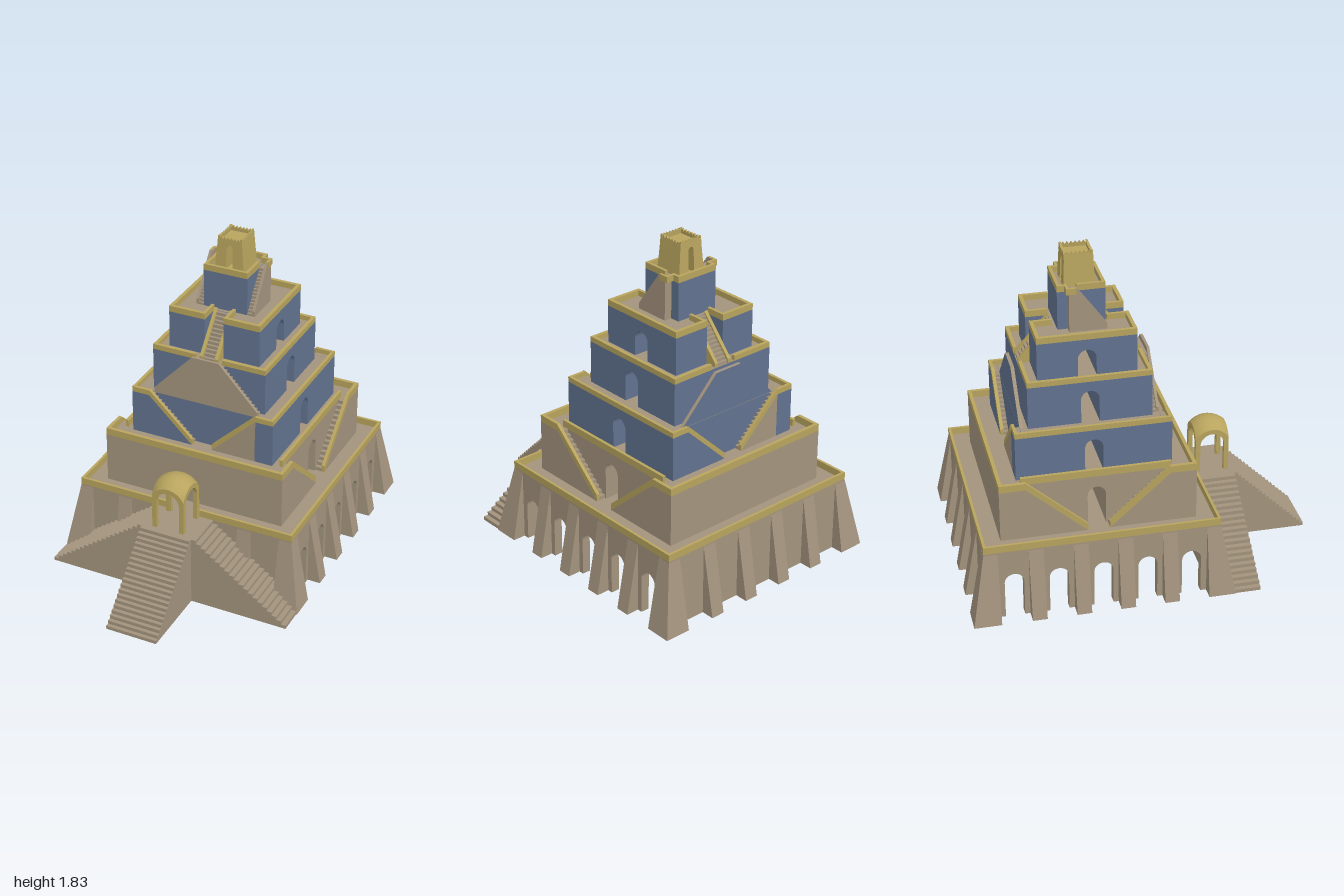
import * as THREE from 'three';

const material = (name, color) => {
  const m = new THREE.MeshStandardMaterial({ color });
  m.name = name;
  return m;
};

export function createModel() {
  const stone = material('sandstone', 0xa3937d);
  const gold = material('gold', 0xb8a45e);
  const blue = material('glazedBlue', 0x61738f);
  const root = new THREE.Group();
  root.name = 'steppedTemple';
  const tower = new THREE.Group();
  tower.name = 'tower';
  tower.position.z = -0.28;
  root.add(tower);

  const add = (parent, name, geo, mat) => {
    const m = new THREE.Mesh(geo, mat);
    m.name = name;
    parent.add(m);
    return m;
  };
  const box = (parent, name, mat, x0, x1, y0, y1, z0, z1) =>
    add(parent, name, new THREE.BoxGeometry(x1 - x0, y1 - y0, z1 - z0)
      .translate((x0 + x1) / 2, (y0 + y1) / 2, (z0 + z1) / 2), mat);
  const poly = (pts) => new THREE.Shape(pts.map(([x, y]) => new THREE.Vector2(x, y)));
  const slab = (shape, d0, d1) =>
    new THREE.ExtrudeGeometry(shape, { depth: d1 - d0, bevelEnabled: false, curveSegments: 12 }).translate(0, 0, d0);
  const archPath = (cx, r, y0, top) => {
    const p = new THREE.Path();
    p.moveTo(cx - r, y0);
    p.lineTo(cx + r, y0);
    p.lineTo(cx + r, top - r);
    p.absarc(cx, top - r, r, 0, Math.PI, false);
    p.lineTo(cx - r, y0);
    return p;
  };
  // Rectangle with arched doorways open at the bottom
  const arcade = (half, y0, y1, centres, r, top) => {
    const s = new THREE.Shape();
    s.moveTo(-half, y0);
    for (const c of centres) {
      s.lineTo(c - r, y0);
      s.lineTo(c - r, top - r);
      s.absarc(c, top - r, r, Math.PI, 0, true);
      s.lineTo(c + r, y0);
    }
    s.lineTo(half, y0);
    s.lineTo(half, y1);
    s.lineTo(-half, y1);
    return s;
  };
  // Saw-toothed points climbing from (a, y0) to (b, y1)
  const treads = (a, b, y0, y1, n) => {
    const pts = [];
    for (let i = 0; i < n; i++) {
      const u = a + (b - a) * i / n, v = y0 + (y1 - y0) * (i + 1) / n;
      pts.push([u, i ? y0 + (y1 - y0) * i / n : y0], [u, v]);
    }
    pts.push([b, y1]);
    return pts;
  };
  const facing = (parent, name, angle) => {
    const g = new THREE.Group();
    g.name = name;
    g.rotation.y = angle;
    parent.add(g);
    return g;
  };
  // Stair running along a wall that faces +z, with an outer parapet wall
  const sideStair = (parent, { s, a, b, end, y0, y1, d0, d1, wall = stone, rail = 0, lift = 0 }) => {
    const flip = (pts) => poly(pts.map(([x, y]) => [x * s, y]));
    add(parent, 'steps', slab(flip([...treads(a, b, y0, y1, 14), [end, y1], [end, y0]]), d0, d1 - 0.015), stone);
    add(parent, 'stairWall', slab(flip([[a, y0], [a, y0 + lift], [b, y1 + lift], [end, y1 + lift], [end, y0]]), d1 - 0.015, d1), wall);
    if (rail) add(parent, 'stairRail', slab(flip([[a, y0], [b, y1], [b, y1 + rail], [a, y0 + rail]]), d1 - 0.018, d1 + 0.001), gold);
  };
  // Parapet pieces [x0, x1, z0, z1] mirrored into all four quadrants
  const parapet = (y0, y1, pieces) => {
    for (const sx of [1, -1]) for (const sz of [1, -1]) for (const [x0, x1, z0, z1] of pieces)
      box(tower, 'parapet', gold, Math.min(sx * x0, sx * x1), Math.max(sx * x0, sx * x1), y0, y1,
        Math.min(sz * z0, sz * z1), Math.max(sz * z0, sz * z1));
  };
  // Tier pierced from side to side by an arched passage
  const tier = (name, mat, hx, hz, y0, y1, top) => {
    add(tower, name, slab(arcade(hz, y0, y1, [0], 0.05, top), -hx, hx).rotateY(Math.PI / 2), mat);
    if (mat !== stone) box(tower, 'terraceFloor', stone, -hx + 0.002, hx - 0.002, y1, y1 + 0.003, -hz + 0.002, hz - 0.002);
  };

  // Hollow base with arcaded sides
  const bays = [-2, -1, 0, 1, 2].map((i) => i * 0.2425);
  for (const s of [1, -1]) {
    const d = s > 0 ? [0.595, 0.645] : [-0.645, -0.595];
    add(tower, 'arcadeWall', slab(arcade(0.645, 0, 0.41, bays, 0.0525, 0.265), ...d).rotateY(Math.PI / 2), stone);
    box(tower, 'baseWall', stone, -0.595, 0.595, 0, 0.41, ...d);
  }
  box(tower, 'baseCeiling', stone, -0.6, 0.6, 0.38, 0.41, -0.6, 0.6);
  for (let k = 0; k < 4; k++) {
    const side = facing(tower, 'buttressRow', k * Math.PI / 2);
    for (const u of [-0.364, -0.121, 0.121, 0.364])
      add(side, 'buttress', slab(poly([[-0.72, 0], [-0.64, 0], [-0.64, 0.4], [-0.645, 0.4]]), u - 0.04, u + 0.04)
        .rotateY(Math.PI / 2), stone);
    // Corner buttress: a block whose outer faces lean inwards
    const corner = new THREE.BoxGeometry(0.15, 0.4, 0.15).translate(0.645, 0.2, 0.645);
    const p = corner.attributes.position;
    for (let i = 0; i < p.count; i++)
      if (p.getY(i) > 0.2) p.setXYZ(i, Math.min(p.getX(i), 0.646), 0.4, Math.min(p.getZ(i), 0.646));
    corner.computeVertexNormals();
    add(side, 'cornerButtress', corner, stone);
  }
  parapet(0.41, 0.45, [[0.63, 0.645, 0, 0.63], [0.08, 0.645, 0.63, 0.645]]);
  box(tower, 'backParapet', gold, -0.08, 0.08, 0.41, 0.45, -0.645, -0.63);

  // Entrance stairs: two side flights, landing and a central flight
  const flight = treads(-0.715, -0.15, 0, 0.41, 20);
  const mirrored = flight.map(([x, y]) => [-x, y]).reverse();
  add(root, 'sideFlights', slab(poly([...flight, ...mirrored]), 0.36, 0.58), stone);
  add(root, 'centralFlight', slab(poly([...treads(-1, -0.58, 0, 0.41, 20), [-0.58, 0]]), -0.15, 0.15)
    .rotateY(Math.PI / 2), stone);

  // Domed gate: four arched faces under a square-cut spherical cap
  const gate = new THREE.Group();
  gate.name = 'gate';
  gate.position.set(0, 0, 0.462);
  root.add(gate);
  const R = 0.14, h = 0.095, cy = 0.57, r = Math.sqrt(R * R - h * h);
  const face = new THREE.Shape();
  face.moveTo(-h, 0.41);
  face.lineTo(-0.068, 0.41);
  face.lineTo(-0.068, 0.577);
  face.absarc(0, 0.577, 0.068, Math.PI, 0, true);
  face.lineTo(0.068, 0.41);
  face.lineTo(h, 0.41);
  face.absarc(0, cy, r, Math.atan2(0.04, h), Math.PI - Math.atan2(0.04, h), false);
  for (let k = 0; k < 4; k++)
    add(facing(gate, 'gateSide', k * Math.PI / 2), 'gateArch', slab(face, h - 0.022, h), gold);
  const dome = new THREE.PlaneGeometry(2 * h, 2 * h, 16, 16).rotateX(-Math.PI / 2);
  const dp = dome.attributes.position;
  for (let i = 0; i < dp.count; i++)
    dp.setY(i, cy + Math.sqrt(R * R - dp.getX(i) ** 2 - dp.getZ(i) ** 2));
  dome.computeVertexNormals();
  const domeGold = gold.clone();
  domeGold.name = 'domeGold';
  domeGold.side = THREE.DoubleSide;
  add(gate, 'dome', dome, domeGold);

  // Second tier with recessed stairs on both flanks
  tier('secondTier', stone, 0.48, 0.535, 0.41, 0.705, 0.64);
  for (const angle of [Math.PI / 2, -Math.PI / 2]) {
    const g = facing(tower, 'flankStairs', angle);
    for (const s of [1, -1])
      sideStair(g, { s, a: 0.06, b: 0.39, end: 0.535, y0: 0.41, y1: 0.705, d0: 0.48, d1: 0.535, rail: 0.04 });
  }
  parapet(0.705, 0.745, [[0, 0.535, 0.515, 0.535], [0.515, 0.535, 0.39, 0.515], [0.462, 0.48, 0, 0.41]]);

  // Third tier with recessed stairs at front and back
  tier('thirdTier', blue, 0.425, 0.38, 0.705, 0.955, 0.9);
  for (const angle of [0, Math.PI]) {
    const g = facing(tower, 'thirdStairs', angle);
    for (const s of [1, -1]) {
      sideStair(g, { s, a: 0.06, b: 0.32, end: 0.322, y0: 0.705, y1: 0.955, d0: 0.38, d1: 0.425,
        wall: s > 0 ? stone : blue, rail: 0.034 });
      const x = s > 0 ? [0.32, 0.425] : [-0.425, -0.32];
      box(g, 'tierCorner', blue, ...x, 0.705, 0.955, 0.38, 0.425);
      box(g, 'cornerFloor', stone, ...x, 0.955, 0.958, 0.38, 0.42);
    }
  }
  parapet(0.955, 0.985, [[0.408, 0.425, 0, 0.425], [0.32, 0.408, 0.408, 0.425]]);

  // Fourth tier: stairs converge on the middle
  tier('fourthTier', blue, 0.337, 0.337, 0.955, 1.2, 1.145);
  const front = facing(tower, 'fourthStairs', 0);
  for (const s of [1, -1])
    sideStair(front, { s, a: 0.31, b: 0.08, end: 0, y0: 0.955, y1: 1.2, d0: 0.337, d1: 0.38, lift: 0.03 });
  add(facing(tower, 'backScreen', Math.PI), 'screenWall',
    slab(poly([[-0.32, 0.958], [0.32, 0.958], [0.085, 1.2], [-0.085, 1.2]]), 0.36, 0.38), [blue, stone]);
  parapet(1.2, 1.23, [[0.317, 0.337, 0, 0.337], [0.08, 0.317, 0.317, 0.337]]);

  // Fifth tier: notched for straight flights at front and back
  tier('fifthTier', blue, 0.27, 0.15, 1.2, 1.415, 1.355);
  for (const angle of [0, Math.PI]) {
    const g = facing(tower, 'fifthStairs', angle);
    for (const x of [[0.056, 0.27], [-0.27, -0.056]]) {
      box(g, 'tierCorner', blue, ...x, 1.2, 1.415, 0.15, 0.27);
      box(g, 'cornerFloor', stone, x[0] + 0.002, x[1] - 0.002, 1.415, 1.418, 0.148, 0.268);
    }
    add(g, 'steps', slab(poly([...treads(-0.33, -0.15, 1.2, 1.415, 12), [-0.15, 1.2]]), -0.036, 0.036)
      .rotateY(Math.PI / 2), stone);
    for (const d of [[0.035, 0.055], [-0.055, -0.035]])
      add(g, 'stairRail', slab(poly([[-0.335, 1.2], [-0.335, 1.225], [-0.15, 1.435], [-0.15, 1.2]]), ...d)
        .rotateY(Math.PI / 2), gold);
  }
  parapet(1.415, 1.45, [[0.25, 0.27, 0, 0.27], [0.056, 0.25, 0.25, 0.27], [0.056, 0.073, 0.15, 0.25]]);

  // Sixth tier with a stair on each flank
  box(tower, 'sixthTier', blue, -0.13, 0.13, 1.415, 1.635, -0.13, 0.13);
  box(tower, 'terraceFloor', stone, -0.128, 0.128, 1.635, 1.638, -0.128, 0.128);
  for (const s of [1, -1]) {
    sideStair(facing(tower, 'upperStairs', s * Math.PI / 2),
      { s, a: -0.13, b: 0.03, end: 0.075, y0: 1.415, y1: 1.635, d0: 0.13, d1: 0.175, lift: 0.034 });
    const side = (a, b) => (s > 0 ? [a, b] : [-b, -a]);
    box(tower, 'landingParapet', gold, ...side(0.13, 0.175), 1.635, 1.67, -0.09, -0.075);
    box(tower, 'landingParapet', gold, ...side(0.162, 0.177), 1.635, 1.67, -0.076, -0.035);
    box(tower, 'parapet', gold, ...side(0.113, 0.13), 1.635, 1.67, -0.025, 0.13);
    box(tower, 'parapet', gold, ...side(0.113, 0.13), 1.635, 1.67, -0.13, -0.075);
    box(tower, 'parapet', gold, -0.113, 0.113, 1.635, 1.67, ...side(0.113, 0.13));
  }

  // Tapered shrine with a through passage and a toothed crown
  const taper = (geo) => {
    const p = geo.attributes.position;
    for (let i = 0; i < p.count; i++) {
      const t = (p.getY(i) - 1.635) / 0.195;
      p.setX(i, p.getX(i) * (1 - 0.19 * t));
      p.setZ(i, p.getZ(i) * (1 - 0.1 * t));
    }
    geo.computeVertexNormals();
    return geo;
  };
  const shrine = poly([[-0.086, 1.635], [0.086, 1.635], [0.086, 1.8], [-0.086, 1.8]]);
  shrine.holes.push(archPath(0, 0.02, 1.64, 1.785));
  add(tower, 'shrine', taper(slab(shrine, -0.085, 0.085)), gold);
  const teeth = [[0.086, 1.79], [0.086, 1.83]];
  for (let i = 1; i < 14; i++) teeth.push([0.086 - i * 0.172 / 14, i % 2 ? 1.815 : 1.83]);
  teeth.push([-0.086, 1.83], [-0.086, 1.79]);
  for (let k = 0; k < 4; k++)
    add(tower, 'crown', taper(slab(poly(teeth), 0.073, 0.086).rotateY(k * Math.PI / 2)), gold);
  return root;
}
